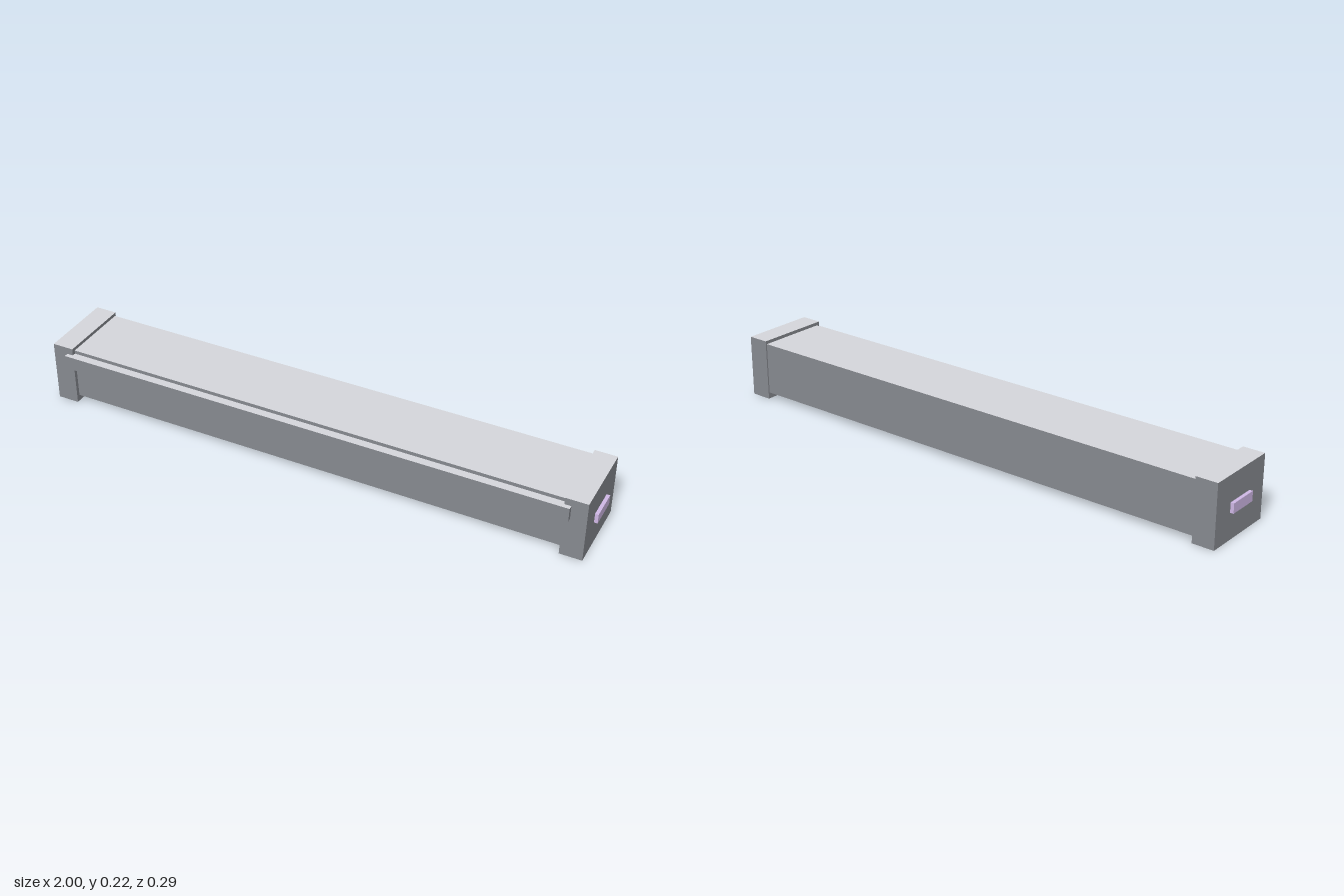
import * as THREE from 'three';

export function createModel() {
  const model = new THREE.Group();
  const makeMaterial = (name, color) => {
    const material = new THREE.MeshStandardMaterial({ color });
    material.name = name;
    return material;
  };
  const grey = makeMaterial('housing grey', 0x878a90);
  const lightGrey = makeMaterial('top light grey', 0xd6d7dc);
  const lavender = makeMaterial('fitting lavender', 0xdcc3f4);

  // Face order of a box: +x, -x, +y, -y, +z, -z
  const greyWithLightTop = [grey, grey, lightGrey, grey, grey, grey];

  // Box given by its minimum and maximum on each axis
  const box = (name, material, [x0, x1], [y0, y1], [z0, z1]) => {
    const mesh = new THREE.Mesh(new THREE.BoxGeometry(x1 - x0, y1 - y0, z1 - z0), material);
    mesh.position.set((x0 + x1) / 2, (y0 + y1) / 2, (z0 + z1) / 2);
    mesh.name = name;
    model.add(mesh);
  };

  // Long housing and the rail along its front
  box('housing', greyWithLightTop, [-0.912, 0.912], [0.023, 0.212], [-0.14, 0.117]);
  box('frontRail', greyWithLightTop, [-0.933, 0.933], [0.149, 0.199], [0.115, 0.146]);

  // End caps with a small tab on each outer face
  for (const [side, s] of [['left', 1], ['right', -1]]) {
    const span = (a, b) => (s > 0 ? [a, b] : [-b, -a]);
    box(side + 'EndCap', greyWithLightTop, span(0.91, 0.988), [0, 0.224], [-0.145, 0.13]);
    box(side + 'EndTab', lavender, span(0.98, 1), [0.095, 0.13], [-0.063, 0.048]);
  }

  // Plate under the housing, with three wider mounting clips
  box('bottomPlate', lavender, [-0.715, 0.715], [0.002, 0.024], [-0.075, 0.057]);
  [-0.615, 0, 0.615].forEach((x, i) => {
    box('mountingClip' + (i + 1), lavender, [x - 0.077, x + 0.077], [0.009, 0.024], [-0.098, 0.08]);
  });

  return model;
}
